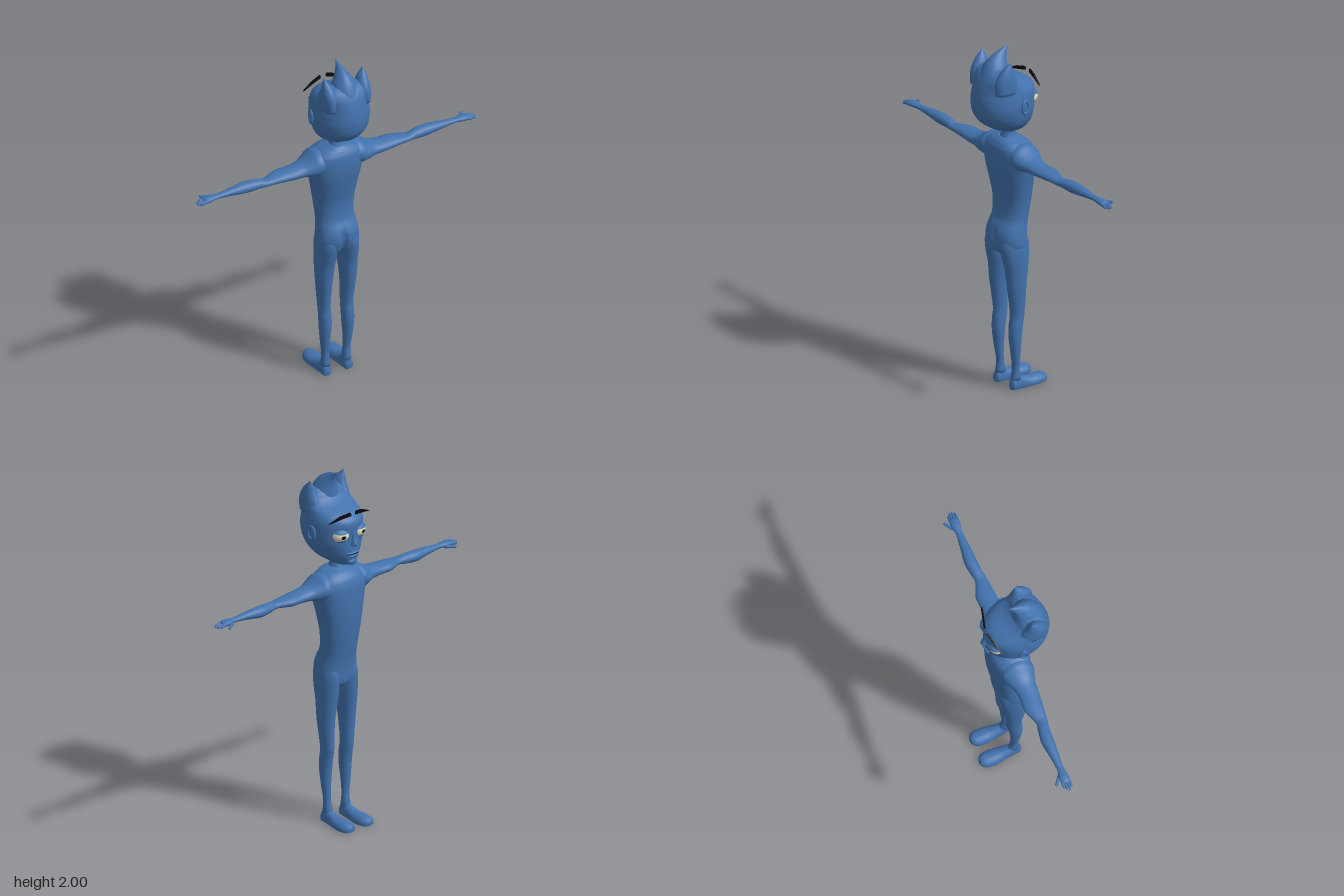
import * as THREE from 'three';

const skin = new THREE.MeshStandardMaterial({ color: 0x4272ad });
skin.name = 'blue skin';
const ivory = new THREE.MeshStandardMaterial({ color: 0xd9dcb6 });
ivory.name = 'ivory eye';
const black = new THREE.MeshStandardMaterial({ color: 0x0b0b0d });
black.name = 'black';

const spline = (a, b, c, d, t) =>
  0.5 * (2 * b + (c - a) * t + (2 * a - 5 * b + 4 * c - d) * t * t + (3 * b - a - 3 * c + d) * t * t * t);

// Smooth list of sections
function refine(rows, n) {
  const out = [];
  for (let i = 0; i < rows.length - 1; i++) {
    const p = rows[Math.max(i - 1, 0)], q = rows[i], r = rows[i + 1], s = rows[Math.min(i + 2, rows.length - 1)];
    for (let k = 0; k < n; k++) {
      out.push(q.map((v, j) => (j === 0 ? v + (r[0] - v) * k / n : spline(p[j], v, r[j], s[j], k / n))));
    }
  }
  out.push(rows[rows.length - 1]);
  return out;
}

function flip(geo) {
  const ix = geo.index.array;
  for (let i = 0; i < ix.length; i += 3) [ix[i], ix[i + 1]] = [ix[i + 1], ix[i]];
}

// Rounded body through sections [t, aMin, aMax, bMin, bMax] along an axis
function stack(axis, rows, { seg = 32, power = 1, rule = null } = {}) {
  const place = { x: (t, a, b) => [t, a, b], y: (t, a, b) => [a, t, b], z: (t, a, b) => [a, b, t] }[axis];
  const rings = refine(rows, 4), pos = [], idx = [];
  const put = (t, a, b) => {
    const v = new THREE.Vector3(...place(t, a, b));
    if (rule) rule(v);
    pos.push(v.x, v.y, v.z);
  };
  const bulge = (v) => Math.sign(v) * Math.pow(Math.abs(v), power);
  for (const [t, a0, a1, b0, b1] of rings) {
    for (let j = 0; j < seg; j++) {
      const w = j / seg * Math.PI * 2;
      put(t, (a0 + a1) / 2 + (a1 - a0) / 2 * bulge(Math.cos(w)), (b0 + b1) / 2 + (b1 - b0) / 2 * bulge(Math.sin(w)));
    }
  }
  const last = rings.length - 1;
  for (let i = 0; i < last; i++) {
    for (let j = 0; j < seg; j++) {
      const a = i * seg + j, b = i * seg + (j + 1) % seg;
      idx.push(a, b, a + seg, b, b + seg, a + seg);
    }
  }
  for (const i of [0, last]) {
    const [t, a0, a1, b0, b1] = rings[i];
    const c = pos.length / 3;
    put(t, (a0 + a1) / 2, (b0 + b1) / 2);
    for (let j = 0; j < seg; j++) {
      const a = i * seg + j, b = i * seg + (j + 1) % seg;
      idx.push(...(i === 0 ? [c, b, a] : [c, a, b]));
    }
  }
  const geo = new THREE.BufferGeometry();
  geo.setAttribute('position', new THREE.Float32BufferAttribute(pos, 3));
  geo.setIndex(idx);
  // Turn faces outward
  const at = (i) => new THREE.Vector3().fromArray(pos, i * 3);
  let volume = 0;
  for (let i = 0; i < idx.length; i += 3) volume += at(idx[i]).dot(at(idx[i + 1]).cross(at(idx[i + 2])));
  if (volume < 0) flip(geo);
  geo.computeVertexNormals();
  return geo;
}

const ball = (rx, ry, rz, x, y, z, ay = 0) =>
  new THREE.SphereGeometry(1, 24, 16).scale(rx, ry, rz).rotateY(ay).translate(x, y, z);

export function createModel() {
  const model = new THREE.Group();
  const add = (name, geo, mat = skin) => {
    const mesh = new THREE.Mesh(geo, mat);
    mesh.name = name;
    model.add(mesh);
  };
  const pair = (name, geo, mat = skin) => {
    add(name + 'Left', geo, mat);
    const other = geo.clone().scale(-1, 1, 1);
    flip(other);
    other.computeVertexNormals();
    add(name + 'Right', other, mat);
  };
  const sym = (rows) => rows.map(([t, w, f, b]) => [t, -w, w, f, b]);

  // Torso with a cleft at the lower back
  add('torso', stack('y', sym([
    [0.775, 0.03, -0.05, 0.03], [0.8, 0.085, -0.08, 0.07], [0.84, 0.118, -0.088, 0.088], [0.89, 0.119, -0.09, 0.097],
    [0.94, 0.112, -0.095, 0.088], [1.0, 0.106, -0.105, 0.057], [1.1, 0.115, -0.12, 0.05], [1.2, 0.13, -0.13, 0.068],
    [1.3, 0.15, -0.132, 0.085], [1.37, 0.16, -0.13, 0.087], [1.42, 0.145, -0.115, 0.082],
    [1.45, 0.1, -0.085, 0.065], [1.468, 0.045, -0.05, 0.045],
  ]), { seg: 64, power: 0.88, rule: (v) => {
    if (v.z > 0 && v.y < 0.96) v.z -= 0.025 * Math.exp(-((v.x / 0.014) ** 2)) * Math.min(1, (0.96 - v.y) / 0.06);
  } }));
  add('neck', stack('y', sym([[1.43, 0.075, -0.07, 0.055], [1.46, 0.045, -0.05, 0.04], [1.49, 0.034, -0.04, 0.03], [1.54, 0.036, -0.04, 0.03]])));

  // Arms, hands and feet
  pair('arm', stack('x', [
    [0.08, 1.31, 1.448, -0.09, 0.065], [0.13, 1.305, 1.447, -0.105, 0.075], [0.17, 1.312, 1.42, -0.09, 0.066],
    [0.21, 1.322, 1.4, -0.07, 0.054], [0.27, 1.327, 1.39, -0.06, 0.05], [0.34, 1.33, 1.386, -0.062, 0.043],
    [0.39, 1.335, 1.38, -0.045, 0.038], [0.43, 1.336, 1.375, -0.03, 0.034], [0.47, 1.33, 1.381, -0.036, 0.026],
    [0.54, 1.325, 1.385, -0.045, 0.023], [0.62, 1.336, 1.38, -0.035, 0.018], [0.7, 1.345, 1.372, -0.026, 0.012],
    [0.73, 1.345, 1.372, -0.027, 0.013], [0.76, 1.343, 1.374, -0.034, 0.019], [0.79, 1.345, 1.371, -0.032, 0.019], [0.8, 1.35, 1.366, -0.026, 0.014],
  ]));
  [[-0.026, 0.826], [-0.013, 0.84], [0.001, 0.842], [0.014, 0.83]].forEach(([z, tip], i) => {
    pair('finger' + (i + 1), stack('x', [
      [0.775, 1.35, 1.368, z - 0.007, z + 0.007], [0.805, 1.347, 1.363, z - 0.007, z + 0.007],
      [tip - 0.008, 1.344, 1.357, z - 0.006, z + 0.006], [tip, 1.348, 1.351, z - 0.002, z + 0.002],
    ], { seg: 12 }));
  });
  pair('thumb', new THREE.CapsuleGeometry(0.008, 0.05, 6, 12).rotateZ(-Math.PI / 2).rotateY(0.6).translate(0.768, 1.351, -0.043));

  pair('leg', stack('y', [
    [0.05, 0.038, 0.088, -0.042, 0.022], [0.12, 0.042, 0.085, -0.027, 0.013], [0.2, 0.042, 0.094, -0.03, 0.024],
    [0.3, 0.034, 0.102, -0.036, 0.036], [0.37, 0.033, 0.102, -0.045, 0.036], [0.42, 0.035, 0.101, -0.055, 0.03],
    [0.5, 0.033, 0.109, -0.057, 0.036], [0.6, 0.027, 0.117, -0.063, 0.05], [0.7, 0.016, 0.121, -0.075, 0.06],
    [0.79, 0.008, 0.122, -0.085, 0.08], [0.86, 0.006, 0.117, -0.086, 0.088], [0.92, 0.02, 0.1, -0.07, 0.07],
  ]));
  pair('foot', stack('z', [
    [0.028, 0.054, 0.074, 0.0, 0.03], [0.02, 0.042, 0.088, -0.02, 0.055], [-0.01, 0.036, 0.092, -0.03, 0.075],
    [-0.045, 0.033, 0.096, -0.03, 0.062], [-0.09, 0.025, 0.104, -0.03, 0.049], [-0.14, 0.02, 0.11, -0.03, 0.046],
    [-0.18, 0.024, 0.106, -0.025, 0.042], [-0.2, 0.038, 0.092, -0.015, 0.034], [-0.207, 0.055, 0.075, 0.0, 0.02],
  ], { rule: (v) => { v.y = Math.max(v.y, 0); } }));

  // Head, with the jaw narrowed toward the chin
  add('head', stack('y', sym([
    [1.5, 0.03, -0.1, 0.0], [1.51, 0.065, -0.13, 0.045], [1.54, 0.105, -0.147, 0.105], [1.58, 0.135, -0.15, 0.16],
    [1.63, 0.15, -0.148, 0.196], [1.69, 0.157, -0.146, 0.208], [1.74, 0.153, -0.15, 0.206], [1.77, 0.147, -0.14, 0.2],
    [1.8, 0.14, -0.1, 0.193], [1.825, 0.138, -0.035, 0.184], [1.85, 0.134, 0.005, 0.174],
    [1.88, 0.115, 0.025, 0.155], [1.9, 0.08, 0.05, 0.13],
  ]), { seg: 48, rule: (v) => {
    const low = THREE.MathUtils.clamp((1.64 - v.y) / 0.1, 0, 1);
    if (v.z < 0.03) v.x *= 1 - 0.25 * low * Math.min(1, (0.03 - v.z) / 0.15);
  } }));

  // Hair spikes sweeping forward
  add('middleSpike', stack('y', sym([
    [1.8, 0.08, 0.0, 0.188], [1.86, 0.078, 0.008, 0.17], [1.91, 0.058, 0.014, 0.145],
    [1.95, 0.033, 0.01, 0.11], [1.98, 0.013, -0.002, 0.055], [2.0, 0.001, -0.012, -0.008],
  ])));
  pair('sideSpike', stack('y', [
    [1.78, 0.06, 0.143, 0.0, 0.16], [1.84, 0.06, 0.142, 0.02, 0.16], [1.88, 0.066, 0.139, 0.04, 0.145],
    [1.92, 0.085, 0.13, 0.055, 0.115], [1.958, 0.115, 0.117, 0.068, 0.074],
  ]));

  // Ears: rim around a shallow bowl
  pair('ear', ball(0.012, 0.038, 0.026, 0.152, 1.69, 0.008, 0.15));
  pair('earRim', new THREE.TorusGeometry(0.026, 0.007, 8, 24).scale(0.85, 1.35, 1).rotateY(Math.PI / 2 + 0.15).translate(0.16, 1.69, 0.008));

  // Eyes, pupils and lids
  const inEye = (geo, k = 1) => geo.scale(0.048 * k, 0.038 * k, 0.036 * k).rotateY(-0.25).translate(0.06, 1.69, -0.113);
  pair('eye', inEye(new THREE.SphereGeometry(1, 24, 16)), ivory);
  pair('pupil', inEye(new THREE.SphereGeometry(1.02, 16, 4, 0, Math.PI * 2, 0, 0.27).rotateX(-Math.PI / 2 - 0.1)), black);
  pair('upperLid', inEye(new THREE.SphereGeometry(1.08, 24, 10, 0, Math.PI * 2, 0, 1.05).rotateX(-0.15)));
  pair('lowerLid', inEye(new THREE.SphereGeometry(1.08, 24, 10, 0, Math.PI * 2, 0, 0.85).rotateX(Math.PI + 0.15)));

  // Eyebrows
  const brow = new THREE.Shape([[0.015, 1.8], [0.02, 1.818], [0.075, 1.806], [0.14, 1.774], [0.075, 1.789]]
    .map(([x, y]) => new THREE.Vector2(x, y)));
  const browGeo = new THREE.ExtrudeGeometry(brow, { depth: 0.009, bevelEnabled: false });
  const bp = browGeo.attributes.position;
  for (let i = 0; i < bp.count; i++) bp.setZ(i, bp.getZ(i) - 0.152 + 0.27 * bp.getX(i));
  browGeo.setIndex([...Array(bp.count).keys()]);
  browGeo.computeVertexNormals();
  pair('eyebrow', browGeo, black);

  // Nose and lips
  add('nose', stack('y', sym([
    [1.62, 0.006, -0.152, -0.13], [1.628, 0.019, -0.168, -0.12], [1.64, 0.017, -0.172, -0.12],
    [1.67, 0.011, -0.158, -0.12], [1.71, 0.01, -0.149, -0.12],
  ]), { seg: 16 }));
  add('upperLip', ball(0.045, 0.007, 0.016, 0, 1.584, -0.142));
  add('lowerLip', ball(0.036, 0.008, 0.016, 0, 1.567, -0.142));
  add('mouthLine', ball(0.042, 0.002, 0.016, 0, 1.576, -0.14), black);
  add('chin', ball(0.035, 0.022, 0.022, 0, 1.532, -0.13));

  return model;
}
